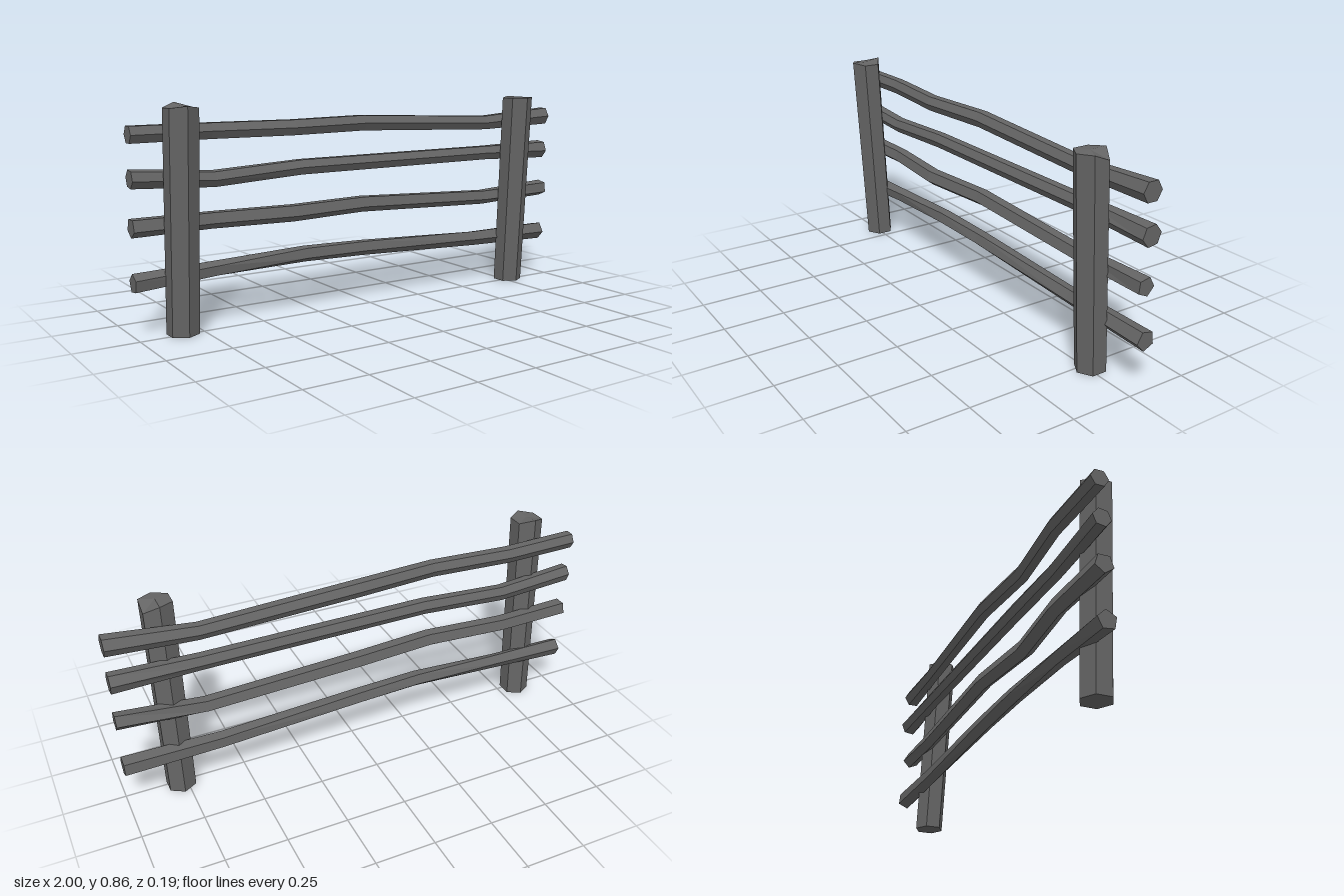
import * as THREE from 'three';

// Closed faceted skin through a list of rings (each a list of Vector3), fan-capped at both ends
function loft(rings, endCentre) {
  const pos = [];
  const tri = (...pts) => pts.forEach((p) => pos.push(p.x, p.y, p.z));
  const n = rings[0].length;
  const middle = (ring) => ring.reduce((s, p) => s.add(p), new THREE.Vector3()).divideScalar(n);
  const first = rings[0], last = rings[rings.length - 1];
  const c0 = middle(first), c1 = endCentre || middle(last);
  for (let j = 0; j < n; j++) {
    const k = (j + 1) % n;
    for (let i = 0; i < rings.length - 1; i++) {
      const a = rings[i], b = rings[i + 1];
      tri(a[j], a[k], b[k]);
      tri(a[j], b[k], b[j]);
    }
    tri(c0, first[k], first[j]);
    tri(c1, last[j], last[k]);
  }
  const geo = new THREE.BufferGeometry();
  geo.setAttribute('position', new THREE.Float32BufferAttribute(pos, 3));
  geo.computeVertexNormals();
  return geo;
}

// Six-sided post leaning forward, with a roughly hewn top
function post(x, tops, peak) {
  const ring = (z, r, heights) => heights.map((y, j) => {
    const a = (j / 6) * Math.PI * 2;
    return new THREE.Vector3(x + Math.sin(a) * r, y, z + Math.cos(a) * r);
  });
  return loft(
    [ring(-0.012, 0.062, [0, 0, 0, 0, 0, 0]), ring(0.03, 0.066, tops)],
    new THREE.Vector3(x, peak, 0.035)
  );
}

// Crooked rail; stations are [x, y, z, radius, twist]
function rail(sides, stations) {
  return loft(stations.map(([x, y, z, r, twist = 0]) =>
    Array.from({ length: sides }, (_, j) => {
      const a = ((j + 0.5) / sides) * Math.PI * 2 + twist;
      return new THREE.Vector3(x, y + Math.cos(a) * r, z + Math.sin(a) * r);
    })));
}

export function createModel() {
  const group = new THREE.Group();
  const wood = new THREE.MeshStandardMaterial({ color: 0x646464, flatShading: true });
  wood.name = 'weatheredWood';
  const add = (name, geo) => {
    const mesh = new THREE.Mesh(geo, wood);
    mesh.name = name;
    group.add(mesh);
  };

  // Posts: top heights run from the front corner round towards +x
  add('leftPost', post(0.775, [0.84, 0.842, 0.815, 0.846, 0.84, 0.84], 0.845));
  add('rightPost', post(-0.83, [0.853, 0.845, 0.845, 0.863, 0.845, 0.845], 0.85));

  // Rails, top to bottom
  add('topRail', rail(6, [
    [-1, 0.75, -0.055, 0.036], [-0.68, 0.75, -0.064, 0.035], [-0.34, 0.75, -0.036, 0.035],
    [0, 0.753, -0.062, 0.036], [0.65, 0.728, -0.06, 0.034], [1, 0.748, -0.043, 0.042],
  ]));
  add('upperMiddleRail', rail(6, [
    [-1, 0.59, -0.054, 0.037, 0.15], [-0.67, 0.569, -0.058, 0.034, 0.1],
    [-0.3, 0.59, -0.05, 0.034], [0.65, 0.592, -0.057, 0.034], [1, 0.591, -0.053, 0.042, 0.15],
  ]));
  add('lowerMiddleRail', rail(5, [
    [-1, 0.412, -0.055, 0.038], [-0.68, 0.412, -0.064, 0.036], [-0.34, 0.412, -0.034, 0.037],
    [0, 0.415, -0.062, 0.036], [0.65, 0.39, -0.06, 0.034], [1, 0.408, -0.042, 0.037, 0.2],
  ]));
  add('bottomRail', rail(5, [
    [-1, 0.204, -0.055, 0.038, 0.5], [-0.67, 0.219, -0.06, 0.032, 0.4],
    [-0.28, 0.234, -0.055, 0.034, 0.1], [0, 0.228, -0.058, 0.034],
    [0.6, 0.203, -0.062, 0.034, -0.2], [1, 0.2, -0.058, 0.04, -0.2],
  ]));
  return group;
}
